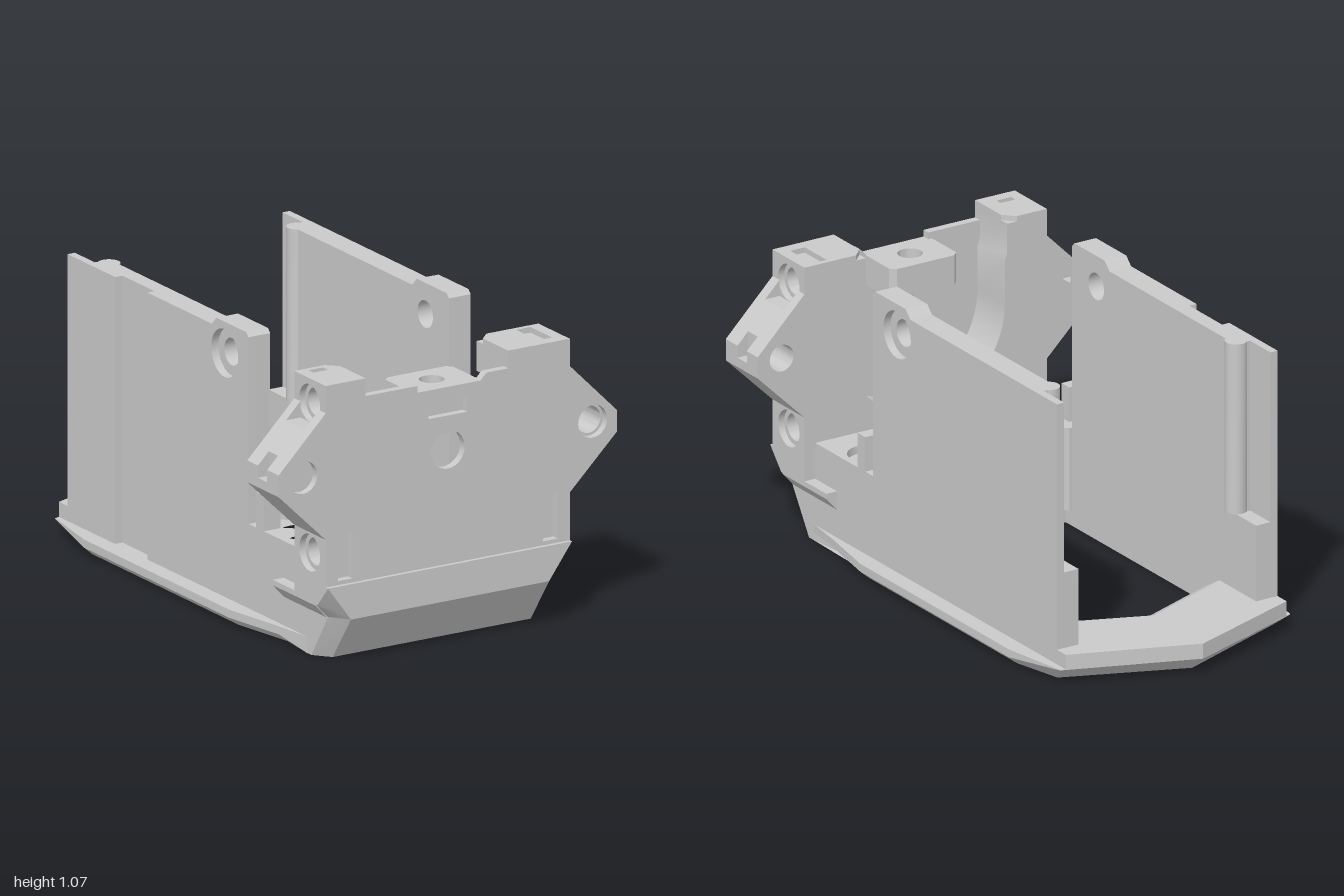
import * as THREE from 'three';
import { toCreasedNormals } from 'three/addons/utils/BufferGeometryUtils.js';
import { ConvexGeometry } from 'three/addons/geometries/ConvexGeometry.js';

const grey = new THREE.MeshStandardMaterial({ color: 0xcacaca });
grey.name = 'plastic grey';

// Closed outline with optional holes, given as point lists or circles [x, y, r]
function outline(pts, holes = []) {
  const shape = new THREE.Shape(pts.map(p => new THREE.Vector2(...p)));
  for (const h of holes) {
    if (Array.isArray(h[0])) shape.holes.push(new THREE.Path(h.map(p => new THREE.Vector2(...p))));
    else shape.holes.push(new THREE.Path().absarc(h[0], h[1], h[2], 0, Math.PI * 2, true));
  }
  return shape;
}
const rect = (a, b, c, d) => [[a, b], [c, b], [c, d], [a, d]];
const mirrored = half => [...half, ...half.filter(p => p[0] !== 0).reverse().map(([x, y]) => [-x, y])];

// Extrusions along each axis, between two positions on it
function extrude(shape, a, b) {
  return new THREE.ExtrudeGeometry(shape, { depth: Math.abs(b - a), bevelEnabled: false, curveSegments: 20 });
}
const alongZ = (shape, a, b) => extrude(shape, a, b).translate(0, 0, Math.min(a, b));
const alongX = (shape, a, b) => extrude(shape, a, b).rotateY(-Math.PI / 2).translate(Math.max(a, b), 0, 0);
const alongY = (shape, a, b) => extrude(shape, a, b).rotateX(Math.PI / 2).translate(0, Math.max(a, b), 0);

function reshape(geo, rule) {
  const p = geo.attributes.position;
  const v = new THREE.Vector3();
  for (let i = 0; i < p.count; i++) {
    v.fromBufferAttribute(p, i);
    rule(v);
    p.setXYZ(i, v.x, v.y, v.z);
  }
  return geo;
}

export function createModel() {
  const model = new THREE.Group();
  const add = (name, geo, parent = model) => {
    const mesh = new THREE.Mesh(toCreasedNormals(geo, 0.5), grey);
    mesh.name = name;
    parent.add(mesh);
  };
  const box = (name, x0, x1, y0, y1, z0, z1, parent) =>
    add(name, new THREE.BoxGeometry(Math.abs(x1 - x0), y1 - y0, z1 - z0)
      .translate((x0 + x1) / 2, (y0 + y1) / 2, (z0 + z1) / 2), parent);

  // Base frame: pointed at the rear, open in the middle, slotted floor in front
  const baseHalf = [[0, -1], [0.48, -0.82], [0.525, -0.56], [0.525, 0.39], [0.48, 0.64], [0.46, 0.79]];
  const opening = mirrored([[0, -0.59], [0.37, -0.44], [0.37, 0.45]]);
  const slots = [
    [[-0.1, 0.56], [-0.04, 0.56], [0.08, 0.76], [0.02, 0.76]],
    [[0.01, 0.56], [0.06, 0.56], [0.14, 0.68], [0.08, 0.68]],
    [[-0.14, 0.68], [-0.08, 0.68], [-0.03, 0.77], [-0.09, 0.77]],
  ];
  const baseShape = outline(mirrored(baseHalf), [opening, ...slots, [0.35, 0.59, 0.05], [-0.35, 0.59, 0.05]]);
  add('baseFrame', reshape(alongY(baseShape, 0.03, 0.06), v => {
    if (v.y < 0.05 && v.z < -0.8) v.y = 0.058;
  }));
  add('baseChamfer', reshape(alongY(baseShape, 0, 0.03), v => {
    if (v.y > 0.01) {
      if (v.z < -0.8) v.y = 0.058;
      return;
    }
    if (Math.abs(v.x) > 0.465) v.x -= Math.sign(v.x) * 0.035;
    if (v.z < -0.8) v.z += 0.07;
  }));

  // Raised rear lip with a sloped inner edge
  const lip = outline(mirrored([[0, -1], [0.46, -0.827], [0.46, -0.77], [0.37, -0.77], [0.37, -0.44], [0, -0.59]]));
  add('rearLip', reshape(alongY(lip, 0.06, 0.115), v => {
    if (v.y > 0.1 && v.z > -0.6) v.z -= 0.095;
  }));

  // Front bumper: two faceted blocks
  const hull = pts => new ConvexGeometry(pts.flatMap(([x, y, z]) =>
    [new THREE.Vector3(x, y, z), new THREE.Vector3(-x, y, z)]));
  add('lowerBumper', hull([[0.41, 0.17, 1], [0.46, 0.17, 0.93], [0.46, 0.17, 0.78],
    [0.41, 0, 0.88], [0.46, 0, 0.82], [0.46, 0, 0.78]]));
  add('upperBumper', hull([[0.505, 0.3, 1], [0.505, 0.3, 0.78], [0.505, 0.22, 0.93], [0.505, 0.22, 0.78],
    [0.41, 0.17, 1], [0.46, 0.17, 0.93], [0.46, 0.17, 0.78]]));

  // Front panel with motor hole, ear holes and slots
  const panel = outline([
    [-0.505, 0.29], [0.505, 0.29], [0.505, 0.475], [0.7, 0.665], [0.7, 0.745], [0.505, 0.94], [0.505, 1.04],
    [0.25, 1.04], [0.25, 0.975], [0.16, 0.975], [0.135, 0.95], [-0.125, 0.95], [-0.125, 0.975],
    [-0.34, 0.975], [-0.34, 1.04], [-0.505, 1.04], [-0.505, 0.94], [-0.7, 0.745], [-0.7, 0.665], [-0.505, 0.475],
  ], [
    [0.6, 0.72, 0.06], [-0.6, 0.72, 0.06], rect(-0.08, 0.845, 0.08, 0.9),
    rect(0.395, 0.315, 0.455, 0.48), rect(-0.455, 0.315, -0.395, 0.48),
  ]);
  panel.holes.push(new THREE.Path().absarc(0, 0.72, 0.07, Math.PI * 0.7, Math.PI * 2.3, false));
  add('frontPanel', alongZ(panel, 0.955, 0.985));
  add('centreBoss', alongY(outline([[-0.14, 0.957], [-0.14, 0.8], [-0.12, 0.78], [0.12, 0.78], [0.14, 0.8],
    [0.14, 0.957]], [[0, 0.88, 0.045]]), 0.84, 0.95));

  for (const s of [1, -1]) {
    const side = new THREE.Group();
    side.name = s > 0 ? 'leftSide' : 'rightSide';
    model.add(side);
    const flip = pts => pts.map(([x, y]) => [s * x, y]);
    const inner = s > 0 ? 0.25 : 0.34;

    // Column behind the panel, with counterbored screw holes
    const columnPts = rect(0.78, 0.29, 0.957, 1.02);
    const screws = r => [[0.88, 0.95, r], [0.88, 0.4, r]];
    add('column', alongX(outline(columnPts, screws(0.05)), s * 0.4, s * 0.48), side);
    add('columnFace', alongX(outline(columnPts, screws(0.068)), s * 0.48, s * 0.505), side);
    add('columnCap', alongY(outline(flip([[inner, 0.957], [inner, 0.82], [inner + 0.04, 0.78], [0.505, 0.78],
      [0.505, 0.957]]), [flip(rect(0.4, 0.8, 0.46, 0.94))]), 1.02, 1.04), side);

    // Thick back of the panel, cut out by a round pocket open at the top
    const back = new THREE.Shape();
    back.moveTo(s * 0.4, 0.29);
    back.lineTo(0, 0.29);
    back.lineTo(0, 0.39);
    back.absarc(0, 0.72, 0.33, -Math.PI / 2, s > 0 ? 0 : -Math.PI, s < 0);
    back.lineTo(s * 0.33, 0.88);
    back.lineTo(s * inner, 0.91);
    back.lineTo(s * inner, 1.02);
    back.lineTo(s * 0.4, 1.02);
    add('panelBack', alongZ(back, 0.78, 0.957), side);

    // Pointed ear in layers, leaving a screw recess above and a slot in the tip
    const earBase = [[0.505, 0.475], [0.7, 0.665]];
    const full = [...earBase, [0.7, 0.745], [0.505, 0.94]];
    const recessed = [...earBase, [0.7, 0.745], [0.565, 0.88], [0.505, 0.88]];
    const slotted = [...earBase, [0.7, 0.7], [0.655, 0.7], [0.655, 0.79], [0.565, 0.88], [0.505, 0.88]];
    const layers = [[full, 0.78], [recessed, 0.82], [slotted, 0.85], [recessed, 0.91], [full, 0.94]];
    layers.forEach(([pts, z], i) => add('earLayer' + (i + 1),
      alongZ(outline(flip(pts), [[s * 0.6, 0.72, 0.05]]), z, i < 4 ? layers[i + 1][1] : 0.957), side));

    // Side lug below the column, bevelled underneath
    add('lug', alongZ(outline(flip([[0.44, 0.165], [0.46, 0.165], [0.505, 0.215], [0.505, 0.235], [0.44, 0.235]])),
      0.64, 0.92), side);

    // Screw block on the floor
    const block = flip([[0.46, 0.41], [0.46, 0.79], [0.28, 0.79], [0.28, 0.72], [0.22, 0.66],
      [0.22, 0.5], [0.29, 0.47], [0.36, 0.41]]);
    add('screwBlock', alongY(outline(block, [[s * 0.35, 0.59, 0.05]]), 0.06, 0.34), side);
    add('screwBlockTop', alongY(outline(block, [[s * 0.35, 0.59, 0.085]]), 0.34, 0.37), side);
    box('post', s * 0.39, s * 0.46, 0.37, 0.5, 0.46, 0.51, side);

    // Tall side wall: inner skin, outer skin, rear rib
    const wallTop = [[0.41, 0.05], [0.41, 1.055], [0.395, 1.07], [0.2, 1.07], [0.17, 1.04]];
    add('wallInner', alongX(outline([...wallTop, [-0.64, 1.04], [-0.64, 0.4], [-0.77, 0.4], [-0.77, 0.05]],
      [[0.255, 0.955, 0.05]]), s * 0.37, s * 0.43), side);
    const rear = s > 0 ? -0.77 : -0.25;
    add('wallOuter', alongX(outline([...wallTop, [rear, 1.04], [rear, 0.05]],
      [[0.255, 0.955, 0.088]]), s * 0.43, s * 0.46), side);
    if (s < 0) box('wallOuterRear', -0.46, -0.43, 0.05, 1.04, -0.77, -0.46, side);
    add('wallRib', new THREE.CylinderGeometry(0.04, 0.04, 0.64, 20).translate(s * 0.39, 0.72, -0.61), side);
  }
  return model;
}
